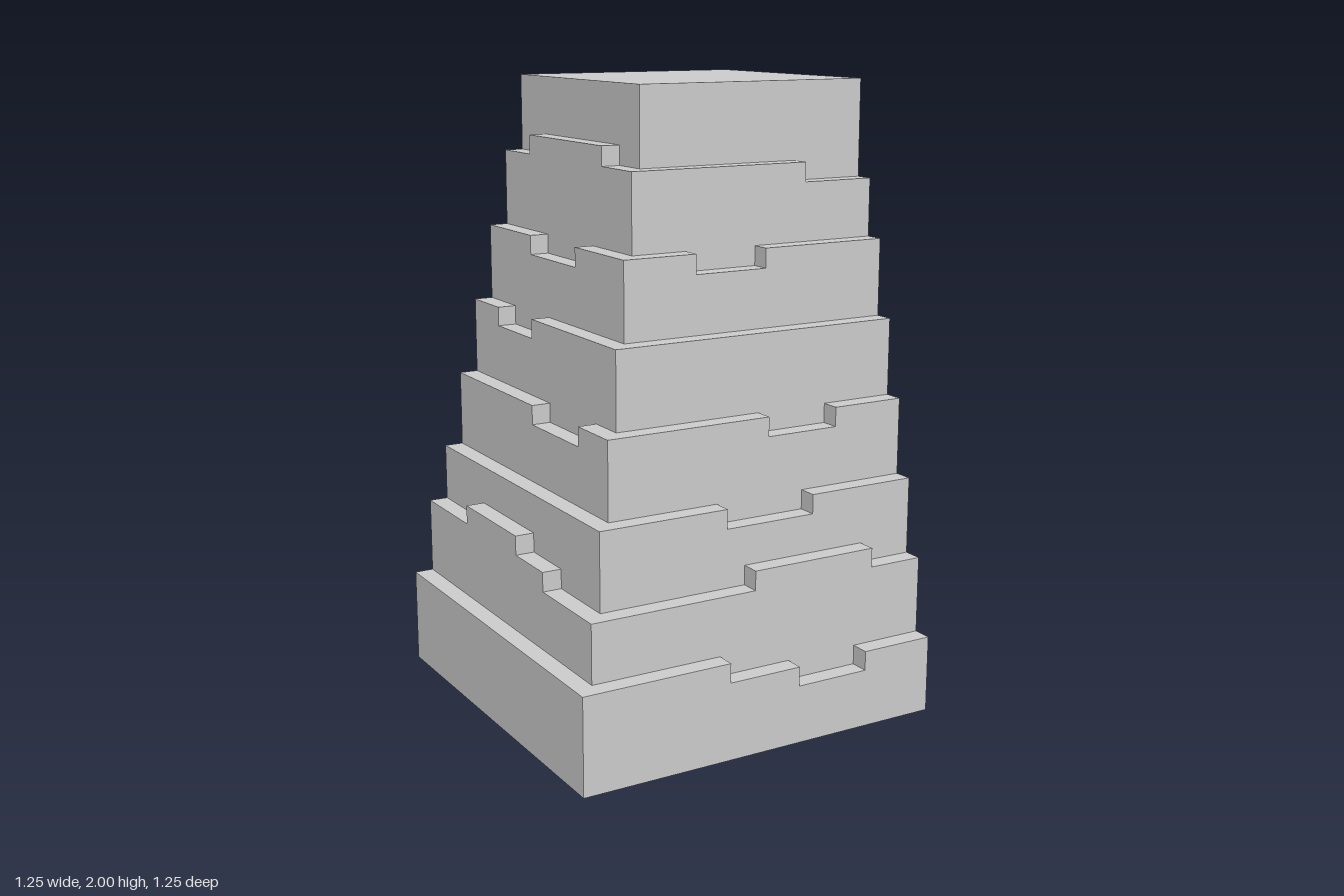
import * as THREE from 'three';

const U = 1 / 16; // grid unit: every step is a multiple of this

// Each course is a stepped wall: [start of run, height] pairs, in grid units.
// front runs along x, side runs along z.
const COURSES = [
  { front: [[-10, 5], [-2, 4], [2, 3], [6, 4]], side: [[-10, 5]] },
  { front: [[-9, 8], [0, 9], [7, 8]], side: [[-10, 9], [-5, 10], [1, 9], [4, 8]] },
  { front: [[-8, 12], [-1, 11], [4, 12]], side: [[-10, 12]] },
  { front: [[-7, 16], [2, 15], [6, 16]], side: [[-10, 16], [-1, 15], [4, 16]] },
  { front: [[-6, 20]], side: [[-10, 20], [-7, 19], [-3, 20]] },
  { front: [[-5, 24], [-1, 23], [3, 24]], side: [[-10, 24], [-5, 23], [0, 24]] },
  { front: [[-4, 28], [6, 27]], side: [[-10, 28], [-7, 29], [1, 28]] },
];

const material = new THREE.MeshStandardMaterial({ color: 0xcccccc, flatShading: true });

// One-unit-thick wall whose top edge follows the runs
function steppedWall(runs, end) {
  const shape = new THREE.Shape();
  shape.moveTo(runs[0][0] * U, 0);
  shape.lineTo(end * U, 0);
  for (let i = runs.length - 1; i >= 0; i--) {
    const right = i + 1 < runs.length ? runs[i + 1][0] : end;
    shape.lineTo(right * U, runs[i][1] * U);
    shape.lineTo(runs[i][0] * U, runs[i][1] * U);
  }
  shape.closePath();
  return new THREE.ExtrudeGeometry(shape, { depth: U, bevelEnabled: false });
}

export function createModel() {
  const model = new THREE.Group();
  model.name = 'steppedCliff';

  const add = (geometry, name) => {
    const mesh = new THREE.Mesh(geometry, material);
    mesh.name = name;
    model.add(mesh);
    return mesh;
  };

  // Tall core with flat top
  const core = add(new THREE.BoxGeometry(13 * U, 32 * U, 13 * U), 'core');
  core.position.set(3.5 * U, 16 * U, -3.5 * U);

  // Ledges wrapping the front and the -x side, from the outermost inwards
  COURSES.forEach(({ front, side }, i) => {
    const inner = 9 - i;
    add(steppedWall(front, 10), `frontLedge${i + 1}`).position.z = inner * U;

    const sideWall = steppedWall(side, inner).rotateY(-Math.PI / 2);
    add(sideWall, `sideLedge${i + 1}`).position.x = -inner * U;
  });

  return model;
}
